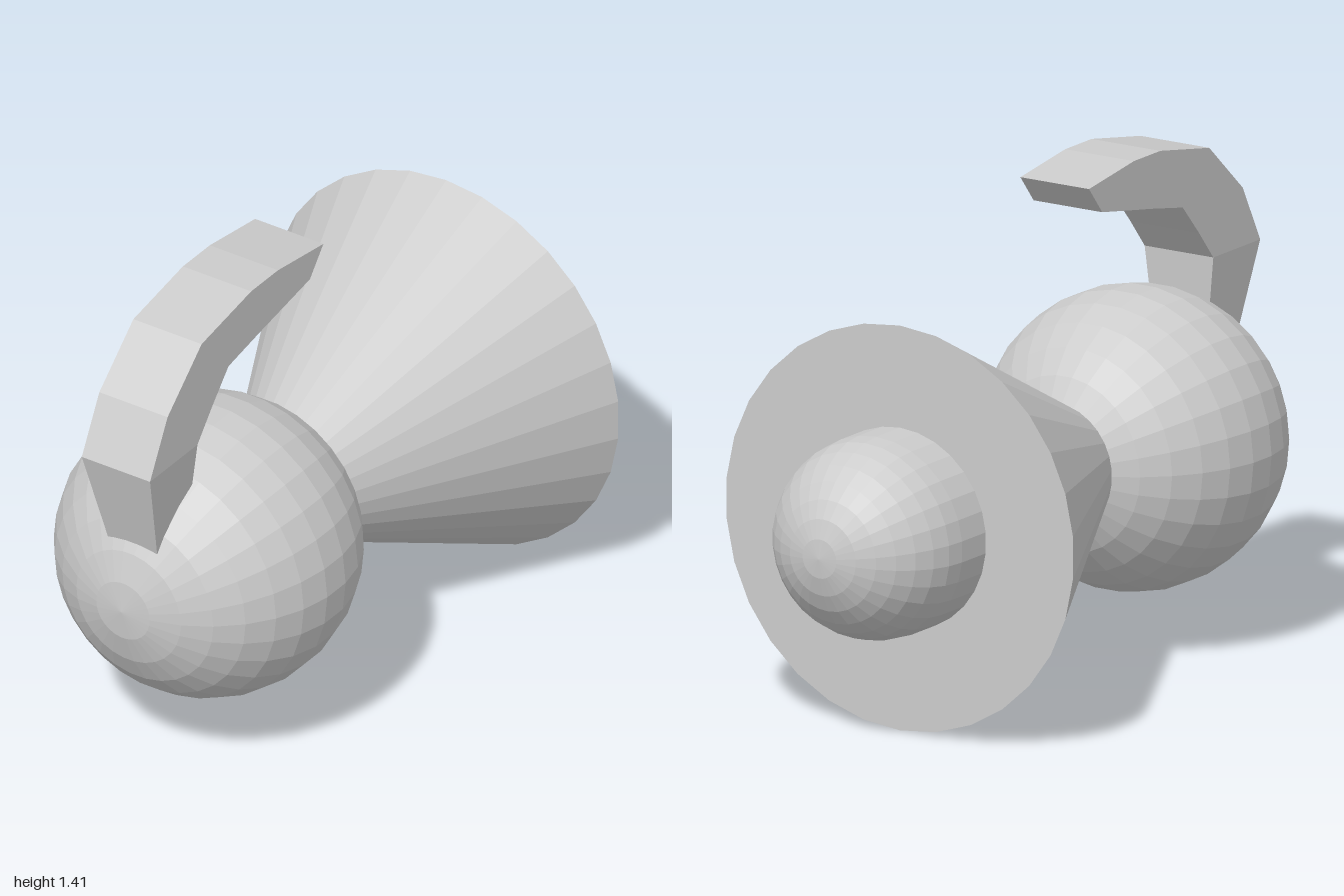
import * as THREE from 'three';

const AXIS_Y = 0.574;
const SIDES = 30;

export function createModel() {
  const group = new THREE.Group();
  const material = new THREE.MeshStandardMaterial({ color: 0xcccccc, flatShading: true });

  function add(name, geometry, y = 0, z = 0) {
    const mesh = new THREE.Mesh(geometry, material);
    mesh.name = name;
    mesh.position.set(0, y, z);
    group.add(mesh);
  }

  // Ball at the front, poles along z
  add('ball', new THREE.SphereGeometry(0.425, SIDES, 15).rotateX(Math.PI / 2), AXIS_Y, 0.55);

  // Flared cone, its narrow end buried in the ball
  add('flaredBody', new THREE.CylinderGeometry(0.167, 0.573, 0.8, SIDES).rotateX(Math.PI / 2), AXIS_Y, -0.2);

  // Round-ended stub at the back: a hemisphere running into a short cylinder
  const radius = 0.284;
  const profile = [];
  for (let i = 0; i <= 8; i++) {
    const a = (i / 8) * Math.PI / 2;
    profile.push(new THREE.Vector2(radius * Math.sin(a), -1 + radius * (1 - Math.cos(a))));
  }
  profile.push(new THREE.Vector2(radius, -0.58));
  add('rearDome', new THREE.LatheGeometry(profile, SIDES).rotateX(Math.PI / 2), AXIS_Y);

  add('curvedHook', hookGeometry());
  return group;
}

// Hook lofted through four-cornered sections
function hookGeometry() {
  // outer z, outer y, inner z, inner y, half width
  const sections = [
    [0.88, 0.62, 0.785, 0.62, 0.066],
    [1.0, 1.05, 0.77, 1.05, 0.113],
    [0.915, 1.215, 0.7, 1.135, 0.113],
    [0.75, 1.365, 0.62, 1.225, 0.113],
    [0.51, 1.41, 0.47, 1.255, 0.113],
    [0.38, 1.41, 0.36, 1.275, 0.113],
    [0.16, 1.38, 0.225, 1.3, 0.113],
  ];
  const positions = [];
  for (const [oz, oy, iz, iy, w] of sections) {
    positions.push(w, oy, oz, w, iy, iz, -w, iy, iz, -w, oy, oz);
  }
  const index = [];
  const quad = (a, b, c, d) => index.push(a, b, c, a, c, d);
  const last = (sections.length - 1) * 4;
  for (let s = 0; s < last; s += 4) {
    for (let k = 0; k < 4; k++) {
      const n = (k + 1) % 4;
      quad(s + k, s + n, s + 4 + n, s + 4 + k);
    }
  }
  quad(3, 2, 1, 0);
  quad(last, last + 1, last + 2, last + 3);

  const indexed = new THREE.BufferGeometry();
  indexed.setAttribute('position', new THREE.Float32BufferAttribute(positions, 3));
  indexed.setIndex(index);
  const geometry = indexed.toNonIndexed();
  geometry.computeVertexNormals();
  return geometry;
}
